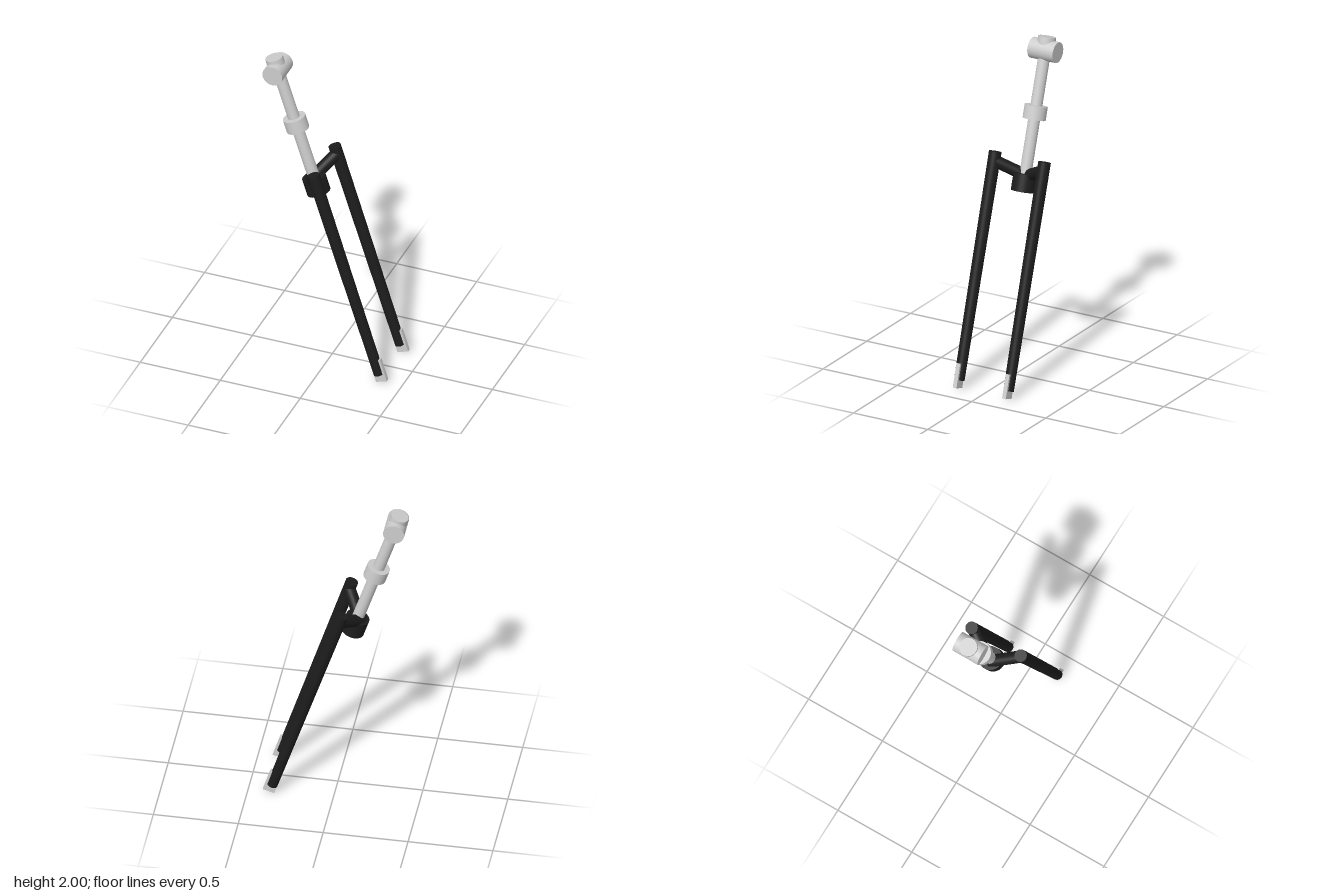
import * as THREE from 'three';

const V = (x, y, z = 0) => new THREE.Vector3(x, y, z);

export function createModel() {
  const group = new THREE.Group();
  const silver = new THREE.MeshStandardMaterial({ color: 0xcccccc });
  silver.name = 'silver';
  const black = new THREE.MeshStandardMaterial({ color: 0x1c1c1c });
  black.name = 'black';

  const up = V(0, 1);

  function place(name, geometry, material, a, b) {
    const mesh = new THREE.Mesh(geometry, material);
    mesh.name = name;
    mesh.position.copy(a).add(b).multiplyScalar(0.5);
    mesh.quaternion.setFromUnitVectors(up, b.clone().sub(a).normalize());
    group.add(mesh);
  }

  // Round bar from point a (radius ra) to point b (radius rb)
  function bar(name, material, a, b, ra, rb = ra) {
    place(name, new THREE.CylinderGeometry(rb, ra, a.distanceTo(b), 40), material, a, b);
  }

  // Steering column, stem clamp and headset collar
  bar('steererTube', silver, V(-0.11, 1.193), V(-0.342, 1.907), 0.035);
  bar('topCap', silver, V(-0.342, 1.907), V(-0.365, 1.984), 0.053);
  bar('handlebarClamp', silver, V(-0.342, 1.908, -0.085), V(-0.342, 1.908, 0.085), 0.062);
  bar('headsetCollar', silver, V(-0.215, 1.52), V(-0.24, 1.597), 0.068);

  // Crown joining the two legs
  bar('crown', black, V(-0.085, 1.114), V(-0.117, 1.214), 0.07);

  // Mirrored arms, tapered legs and dropout plates
  for (const [side, s] of [['left', 1], ['right', -1]]) {
    const z = 0.166 * s;
    bar(side + 'CrownArm', black, V(-0.131, 1.194, 0), V(-0.037, 1.29, z), 0.036);
    bar(side + 'Leg', black, V(0.358, 0.053, z), V(-0.053, 1.34, z), 0.031, 0.037);
    const low = V(0.378, 0.011, z), high = V(0.335, 0.149, z);
    place(side + 'Dropout', new THREE.BoxGeometry(0.07, low.distanceTo(high), 0.025), silver, low, high);
  }
  return group;
}
